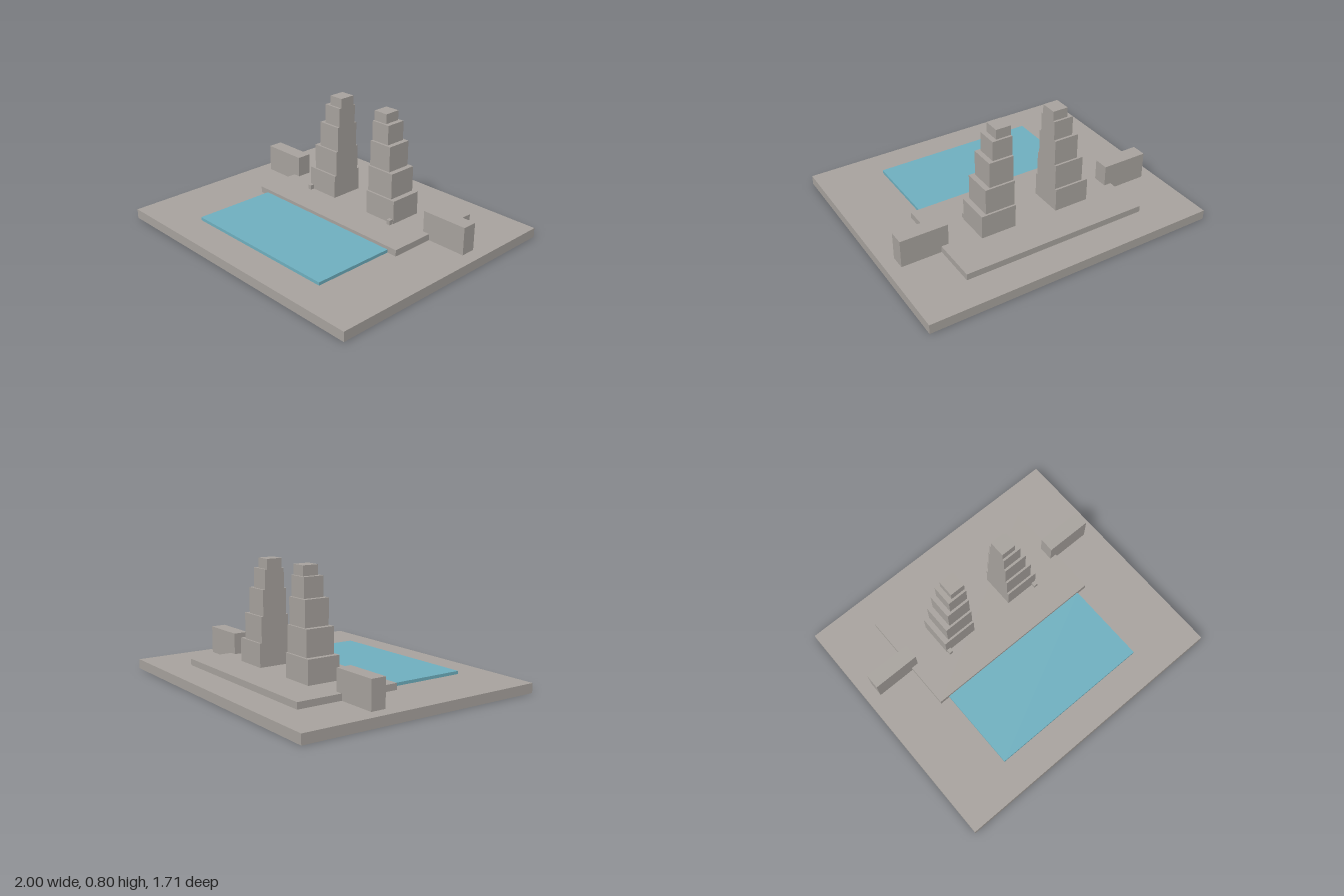
import * as THREE from 'three';

export function createModel() {
  const model = new THREE.Group();
  model.name = 'twinTowerPlaza';

  const stone = new THREE.MeshStandardMaterial({ color: 0xa8a39e });
  stone.name = 'stone';
  const water = new THREE.MeshStandardMaterial({ color: 0x6fb0c0 });
  water.name = 'water';

  // Box given by its lower and upper limits on each axis
  function block(name, [x0, x1], [y0, y1], [z0, z1], material, parent) {
    const geometry = new THREE.BoxGeometry(x1 - x0, y1 - y0, z1 - z0);
    const mesh = new THREE.Mesh(geometry, material);
    mesh.position.set((x0 + x1) / 2, (y0 + y1) / 2, (z0 + z1) / 2);
    mesh.name = name;
    parent.add(mesh);
  }

  const groundTop = 0.064;
  const terraceTop = 0.107;

  // Ground slab, raised terrace and pool
  block('groundSlab', [-1, 1], [0, groundTop], [-0.857, 0.857], stone, model);
  block('terrace', [-0.64, 0.64], [groundTop, terraceTop], [-0.643, 0.071], stone, model);
  block('pool', [-0.571, 0.571], [groundTop, 0.085], [0.071, 0.638], water, model);

  // Tower tiers: outer x, top y, half depth; the inner face stays flush
  const tiers = [
    [0.392, 0.265, 0.114],
    [0.356, 0.437, 0.1],
    [0.32, 0.607, 0.086],
    [0.287, 0.737, 0.07],
    [0.254, 0.802, 0.055],
  ];
  const innerX = 0.151;
  const towerZ = -0.286;

  for (const side of [1, -1]) {
    const prefix = side > 0 ? 'left' : 'right';
    const span = (a, b) => (side > 0 ? [a, b] : [-b, -a]);

    // Stepped tower
    const tower = new THREE.Group();
    tower.name = prefix + 'Tower';
    let bottom = terraceTop;
    tiers.forEach(([outerX, top, half], i) => {
      block('tier' + (i + 1), span(innerX, outerX), [bottom, top],
        [towerZ - half, towerZ + half], stone, tower);
      bottom = top;
    });

    // Small pedestal in front of the tower
    block('pedestal', span(0.36, 0.388), [terraceTop, 0.139], [-0.172, -0.143], stone, tower);
    model.add(tower);

    // Low side wing
    block(prefix + 'Wing', span(0.59, 0.91), [groundTop, 0.25], [-0.337, -0.236], stone, model);
  }

  return model;
}
